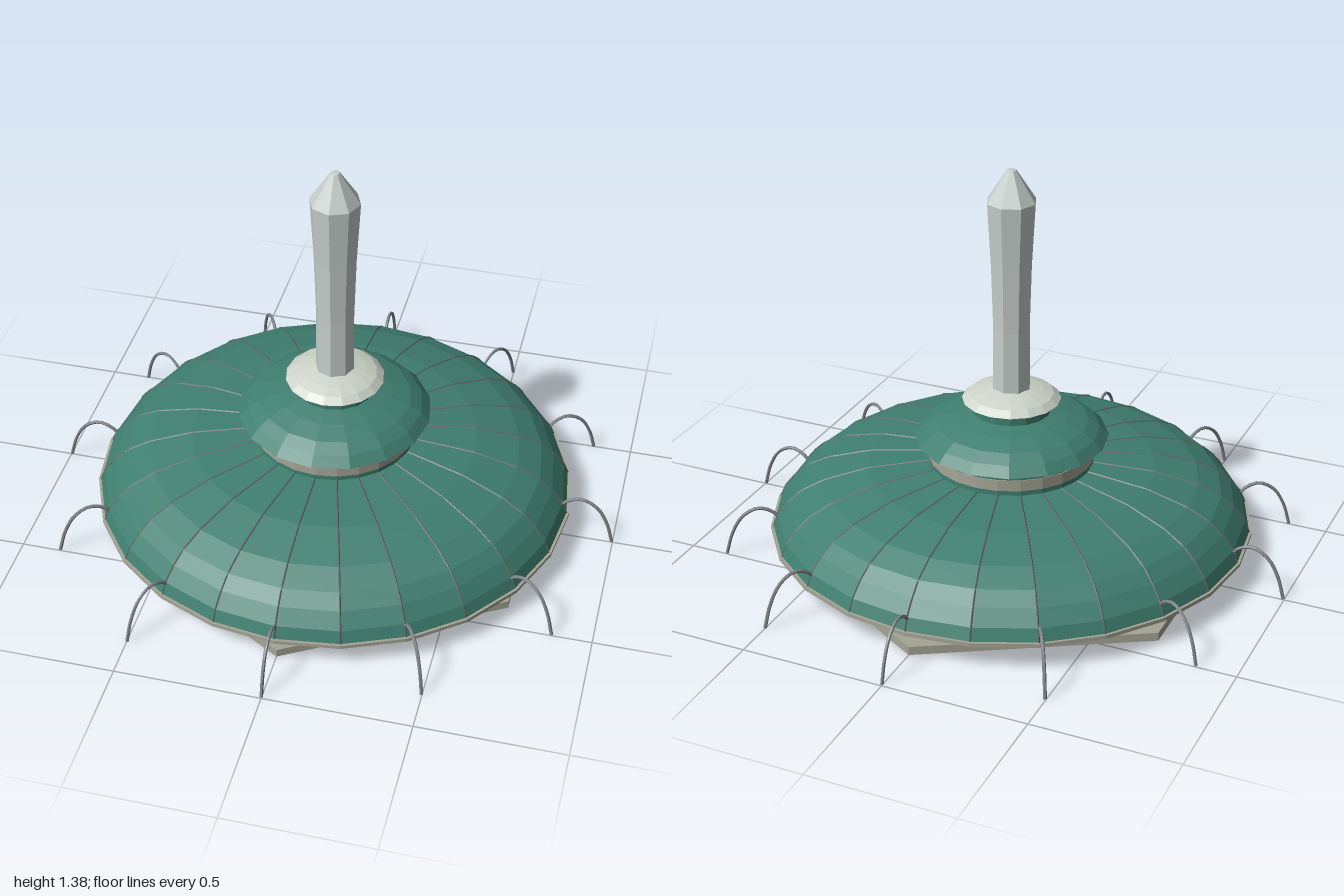
import * as THREE from 'three';

const material = (color) => new THREE.MeshStandardMaterial({ color, flatShading: true, side: THREE.DoubleSide });
const GREEN = material(0x3f7f70);
const STONE = material(0xa5a596);
const CREAM = material(0xcdd3c8);
const PALE = material(0xc6cecb);
const METAL = material(0x80858a);
const RIB = material(0x5f5f60);

export function createModel() {
  const model = new THREE.Group();

  const add = (name, geometry, mat, parent = model) => {
    const mesh = new THREE.Mesh(geometry, mat);
    mesh.name = name;
    parent.add(mesh);
    return mesh;
  };
  // Turned part from [radius, height] pairs, bottom to top
  const turned = (name, profile, sides, mat) =>
    add(name, new THREE.LatheGeometry(profile.map(([r, y]) => new THREE.Vector2(r, y)), sides), mat);
  // Repeats a part around the vertical axis
  const ring = (name, count, geometry, mat) => {
    const group = new THREE.Group();
    group.name = name + 's';
    for (let i = 0; i < count; i++) {
      add(name, geometry, mat, group).rotation.y = (i / count) * Math.PI * 2;
    }
    model.add(group);
  };

  // Hexagonal floor, corners on the z axis
  add('floor', new THREE.CylinderGeometry(0.81, 0.81, 0.03, 6), STONE).position.y = 0.015;

  // Posts between the floor and the roof
  ring('post', 24, new THREE.BoxGeometry(0.028, 0.07, 0.028).translate(0, 0.062, 0.695), STONE);

  // Wide roof with its rim plate
  turned('roofRim', [[0, 0.09], [0.84, 0.09], [0.84, 0.103], [0, 0.103]], 24, STONE);
  const roof = [[0.832, 0.1], [0.815, 0.145], [0.775, 0.195], [0.73, 0.235], [0.65, 0.273], [0.5, 0.311], [0.28, 0.33]];
  turned('roof', roof, 24, GREEN);

  // Thin ribs along the roof edges
  const ribPath = new THREE.CurvePath();
  const ribPoints = roof.map(([r, y]) => new THREE.Vector3(0, y, r));
  for (let i = 1; i < ribPoints.length; i++) ribPath.add(new THREE.LineCurve3(ribPoints[i - 1], ribPoints[i]));
  ring('roofRib', 24, new THREE.TubeGeometry(ribPath, 24, 0.003, 4), RIB);

  // Arched legs around the rim
  const legPath = new THREE.CatmullRomCurve3([
    [0.8, 0.12], [0.83, 0.157], [0.88, 0.175], [0.935, 0.147], [0.973, 0.085], [0.997, 0.004],
  ].map(([r, y]) => new THREE.Vector3(0, y, r)));
  ring('leg', 12, new THREE.TubeGeometry(legPath, 14, 0.006, 6), METAL);

  // Banded collar
  turned('collarBase', [[0.285, 0.325], [0.285, 0.348]], 24, GREEN);
  turned('collarBand', [[0.28, 0.348], [0.288, 0.348], [0.288, 0.388], [0.28, 0.388]], 24, STONE);
  turned('collarTop', [[0.285, 0.388], [0.285, 0.422]], 24, GREEN);

  // Upper roof, neck and cap
  turned('upperRoof', [[0, 0.42], [0.335, 0.42], [0.305, 0.452], [0.265, 0.478], [0.2, 0.5], [0.13, 0.517], [0, 0.517]], 16, GREEN);
  turned('neck', [[0.137, 0.51], [0.137, 0.556]], 16, GREEN);
  turned('cap', [[0, 0.55], [0.155, 0.55], [0.17, 0.558], [0.145, 0.578], [0.11, 0.59], [0.06, 0.602], [0, 0.604]], 16, CREAM);

  // Eight-sided spire, flaring to a pointed head
  turned('spire', [[0.067, 0.595], [0.066, 0.82], [0.073, 1.05], [0.086, 1.272], [0.016, 1.38], [0, 1.382]], 8, PALE);

  return model;
}
